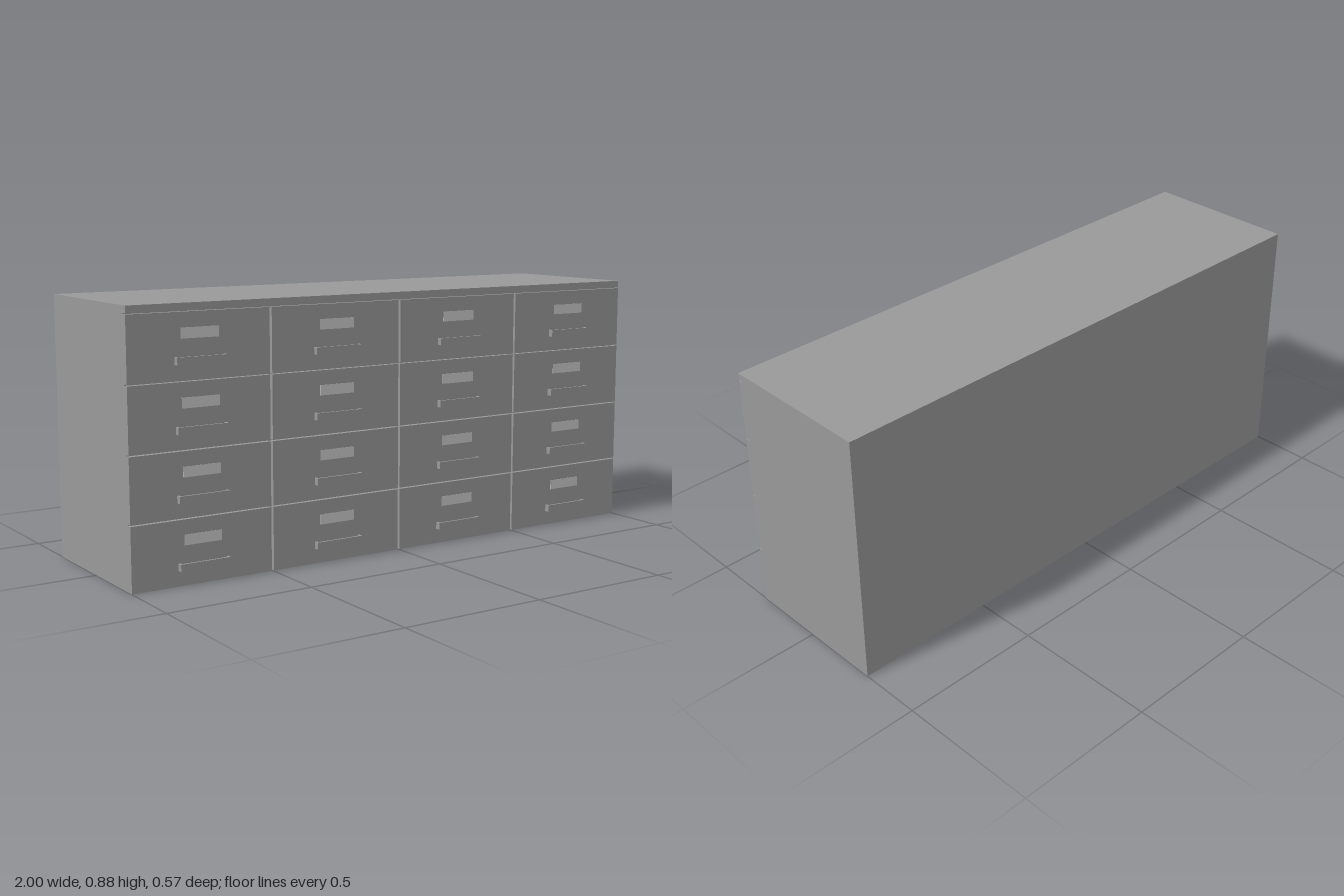
import * as THREE from 'three';

const W = 2, H = 0.885, BACK = -0.283, FRONT = 0.265, T = 0.018;
const CARCASS_FRONT = FRONT - T;
const ROWS = 4, COLS = 4, CELL = W / COLS, PITCH = 0.2155, GAP = 0.004, TOP_Y = 0.862;
const SIDE_GAP = 0.004;

const bodyGrey = new THREE.MeshStandardMaterial({ color: 0x999999 });
const labelGrey = new THREE.MeshStandardMaterial({ color: 0xcccccc });

// Box given by its minimum and maximum corners
function box(parent, name, [x0, y0, z0], [x1, y1, z1], material = bodyGrey) {
  const mesh = new THREE.Mesh(new THREE.BoxGeometry(x1 - x0, y1 - y0, z1 - z0), material);
  mesh.position.set((x0 + x1) / 2, (y0 + y1) / 2, (z0 + z1) / 2);
  mesh.name = name;
  parent.add(mesh);
}

// Pull handle: a bar held between two legs on the drawer front
function makeHandle() {
  const handle = new THREE.Group();
  const w = 0.088, h = 0.012, depth = 0.018, leg = 0.007;
  box(handle, 'handleLeg', [-w, -h, 0], [-w + leg, h, depth]);
  box(handle, 'handleLeg', [w - leg, -h, 0], [w, h, depth]);
  box(handle, 'handleBar', [-w + leg, -h, depth - leg], [w - leg, h, depth]);
  return handle;
}

function makeDrawer(x0, x1, y0, y1) {
  const drawer = new THREE.Group();
  const cx = (x0 + x1) / 2;
  box(drawer, 'drawerFront', [x0, y0, CARCASS_FRONT], [x1, y1, FRONT]);
  box(drawer, 'labelPlate', [cx - 0.066, y0 + 0.129, FRONT - 0.001], [cx + 0.066, y0 + 0.163, FRONT + 0.0007], labelGrey);
  const handle = makeHandle();
  handle.name = 'handle';
  handle.position.set(cx, y0 + 0.062, FRONT);
  drawer.add(handle);
  return drawer;
}

export function createModel() {
  const model = new THREE.Group();
  model.name = 'drawerCabinet';

  // Carcass: top, back, two sides and the dividers between columns
  const carcass = new THREE.Group();
  carcass.name = 'carcass';
  model.add(carcass);
  box(carcass, 'top', [-W / 2, TOP_Y, BACK], [W / 2, H, FRONT]);
  box(carcass, 'back', [-W / 2, 0, BACK], [W / 2, TOP_Y, BACK + 0.006]);
  for (let c = 0; c <= COLS; c++) {
    const x = -W / 2 + c * CELL;
    const x0 = c === 0 ? x : c === COLS ? x - T : x - T / 2;
    box(carcass, c % COLS ? 'divider' : 'side', [x0, 0, BACK + 0.006], [x0 + T, TOP_Y, CARCASS_FRONT]);
  }

  for (let c = 0; c < COLS; c++) {
    const left = -W / 2 + c * CELL, right = left + CELL;
    const first = c === 0, last = c === COLS - 1;

    // Recessed floor and the shelves behind the drawer gaps
    const x0 = left + (first ? T : T / 2), x1 = right - (last ? T : T / 2);
    box(carcass, 'floor', [x0, 0.04, BACK + 0.006], [x1, 0.05, CARCASS_FRONT]);
    for (let r = 1; r <= ROWS; r++) {
      const y = r * PITCH - GAP / 2;
      box(carcass, 'shelf', [x0, y - T / 2, BACK + 0.006], [x1, y + T / 2, CARCASS_FRONT]);
    }

    // Drawers, flush with the cabinet's outer sides
    for (let r = 0; r < ROWS; r++) {
      const drawer = makeDrawer(left + (first ? 0 : SIDE_GAP), right - (last ? 0 : SIDE_GAP),
        r * PITCH, (r + 1) * PITCH - GAP);
      drawer.name = 'drawer';
      model.add(drawer);
    }
  }
  return model;
}
